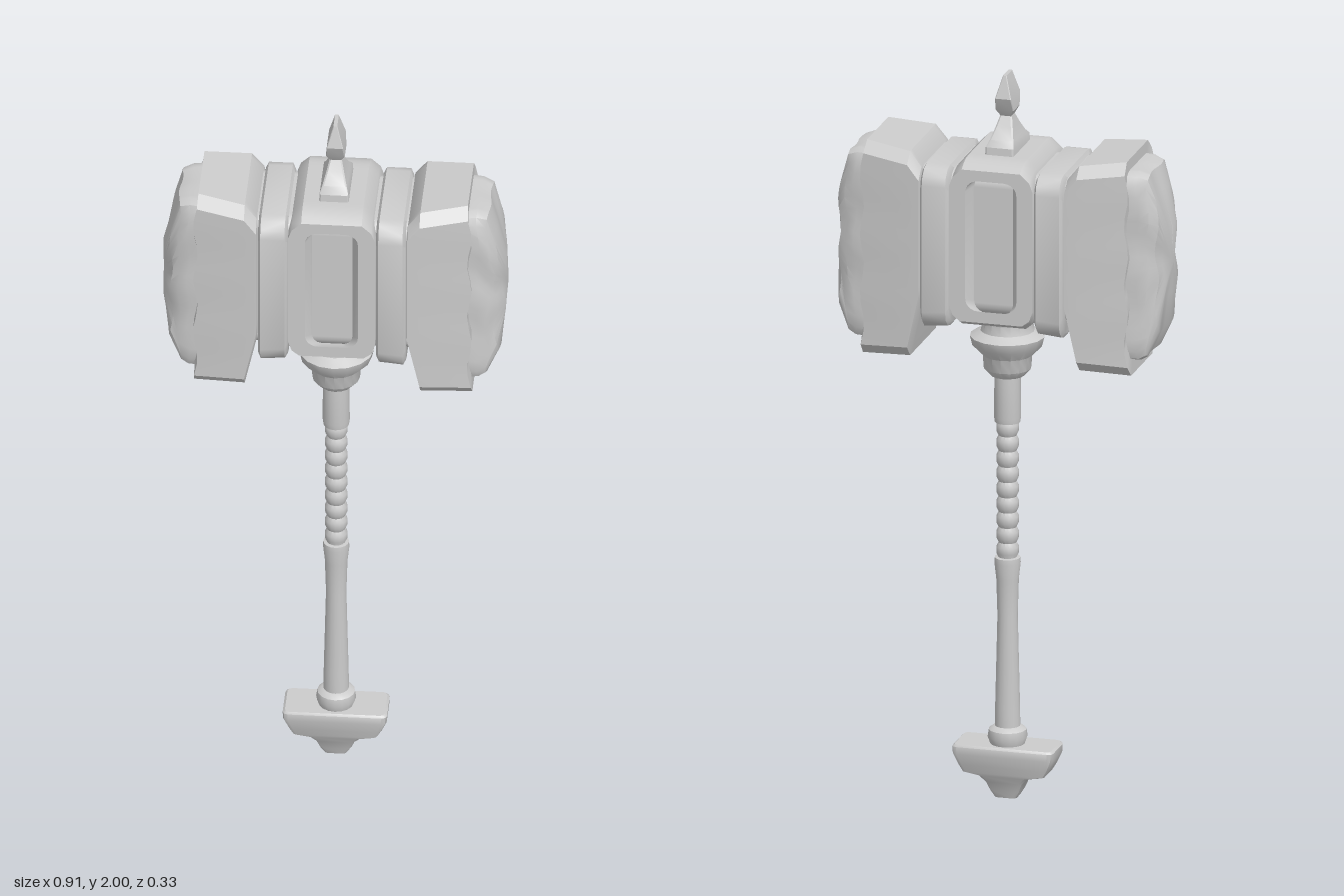
import * as THREE from 'three';
import { toCreasedNormals } from 'three/addons/utils/BufferGeometryUtils.js';
import { RoundedBoxGeometry } from 'three/addons/geometries/RoundedBoxGeometry.js';

const V = (x, y, z) => new THREE.Vector3(x, y, z);
const material = new THREE.MeshStandardMaterial({ color: 0xcccccc, side: THREE.DoubleSide });
const HEAD_Y = 1.52;

// Rectangle with rounded corners as a loop of [u, v]; straight edges get n steps.
function section(hu, hv, r, n = 1, arc = 3) {
  const corners = [[1, 1, 0], [-1, 1, 1], [-1, -1, 2], [1, -1, 3]].map(([su, sv, q]) => {
    const pts = [];
    for (let i = 0; i <= arc; i++) {
      const a = (q + i / arc) * Math.PI / 2;
      pts.push([su * (hu - r) + r * Math.cos(a), sv * (hv - r) + r * Math.sin(a)]);
    }
    return pts;
  });
  const loop = [];
  corners.forEach((pts, k) => {
    loop.push(...pts);
    const a = pts[arc], b = corners[(k + 1) % 4][0];
    for (let i = 1; i < n; i++) {
      loop.push([a[0] + (b[0] - a[0]) * i / n, a[1] + (b[1] - a[1]) * i / n]);
    }
  });
  return loop;
}

// Skin over a list of equal-length rings, closed with a fan at both ends.
function loft(rings, crease = 0.6) {
  const pos = [], idx = [], n = rings[0].length, m = rings.length;
  rings.forEach(ring => ring.forEach(p => pos.push(p.x, p.y, p.z)));
  for (let i = 0; i < m - 1; i++) {
    for (let j = 0; j < n; j++) {
      const a = i * n + j, b = i * n + (j + 1) % n;
      idx.push(a, b, b + n, a, b + n, a + n);
    }
  }
  [0, m - 1].forEach(e => {
    const mid = rings[e].reduce((s, p) => s.add(p), V(0, 0, 0)).divideScalar(n);
    const c = pos.length / 3;
    pos.push(mid.x, mid.y, mid.z);
    for (let j = 0; j < n; j++) {
      const a = e * n + j, b = e * n + (j + 1) % n;
      if (e) idx.push(c, a, b); else idx.push(c, b, a);
    }
  });
  // Turn the faces outward if the enclosed volume comes out negative.
  const at = i => V(pos[3 * i], pos[3 * i + 1], pos[3 * i + 2]);
  let volume = 0;
  for (let i = 0; i < idx.length; i += 3) {
    volume += at(idx[i]).dot(at(idx[i + 1]).cross(at(idx[i + 2])));
  }
  if (volume < 0) idx.reverse();
  const g = new THREE.BufferGeometry();
  g.setAttribute('position', new THREE.Float32BufferAttribute(pos, 3));
  g.setIndex(idx);
  return toCreasedNormals(g, crease);
}

// Loft along x from [x, low y, high y, half depth, radius]; wave shifts the points.
function loftX(side, rows, n = 1, arc = 3, wave = () => [0, 0]) {
  return loft(rows.map(([x, y0, y1, hz, r], i) =>
    section((y1 - y0) / 2, hz, r, n, arc).map(([u, v]) => {
      const [dx, dz] = wave(i, u, v);
      return V(side * (x + dx), (y0 + y1) / 2 + u, v + dz * Math.sign(v));
    })));
}

// Loft along y from [y, half width, half depth, radius].
const loftY = (rows, arc = 2, crease = 0.6) => loft(rows.map(([y, hx, hz, r]) =>
  section(hx, hz, r, 1, arc).map(([u, v]) => V(u, y, v))), crease);

const lathe = (profile, sides = 16) => toCreasedNormals(
  new THREE.LatheGeometry(profile.map(([r, y]) => new THREE.Vector2(r, y)), sides), 0.7);

// Middle of the head: side outline with a window, cut through from front to back.
function centreBlock() {
  const cy = 1.565;
  const outline = new THREE.Shape([[-0.115, 1.38], [-0.105, 1.35], [-0.085, 1.333], [0.085, 1.333],
    [0.105, 1.35], [0.115, 1.38], [0.115, 1.74], [0.105, 1.77], [0.08, 1.795], [-0.08, 1.795],
    [-0.105, 1.77], [-0.115, 1.74]].map(p => new THREE.Vector2(...p)));
  outline.holes.push(new THREE.Path(section(0.07, 0.198, 0.035, 1, 5)
    .map(([u, v]) => new THREE.Vector2(u, v + cy))));
  const g = new THREE.ExtrudeGeometry(outline, { depth: 0.32, steps: 16, bevelEnabled: false });
  g.translate(0, 0, -0.16);
  const p = g.attributes.position;
  for (let i = 0; i < p.count; i++) {
    const x = p.getX(i), y = p.getY(i), z = Math.abs(p.getZ(i));
    // Window walls lean inward, top and bottom round over toward front and back.
    if (Math.abs(x) < 0.075 && Math.abs(y - cy) < 0.205) {
      p.setX(i, x * (1 - 0.3 * Math.min(1, (0.16 - z) / 0.03)));
    }
    const t = Math.max(0, (z - 0.1) / 0.06);
    p.setY(i, cy + (y - cy) * (1 - 0.09 * t * t));
  }
  return toCreasedNormals(g, 0.6);
}

export function createModel() {
  const model = new THREE.Group();
  const add = (name, geometry, parent = model) => {
    const mesh = new THREE.Mesh(geometry, material);
    mesh.name = name;
    parent.add(mesh);
    return mesh;
  };

  // Head
  const head = new THREE.Group();
  head.name = 'head';
  model.add(head);
  add('headCentre', centreBlock(), head);
  add('headCore', new RoundedBoxGeometry(0.6, 0.4, 0.265, 3, 0.04), head).position.y = 1.56;

  [1, -1].forEach(side => {
    const label = side > 0 ? 'left' : 'right';
    add(label + 'Band', loftX(side, [
      [0.117, 1.335, 1.76, 0.155, 0.05], [0.124, 1.326, 1.77, 0.165, 0.05],
      [0.188, 1.32, 1.77, 0.165, 0.05], [0.195, 1.33, 1.76, 0.155, 0.05]]), head);

    // Heavy outer casing, with an uneven outer rim
    add(label + 'Casing', loftX(side, [
      [0.198, 1.39, 1.75, 0.15, 0.03], [0.2, 1.38, 1.76, 0.155, 0.03],
      [0.232, 1.235, 1.8, 0.152, 0.03], [0.362, 1.225, 1.815, 0.13, 0.03]], 14, 1,
      (i, u) => [i === 3 ? 0.006 * Math.sin(u * 38) : 0, 0]), head);

    // Rough domed stone striking face
    add(label + 'StoneFace', loftX(side, [
      [0.34, 1.265, 1.785, 0.115, 0.03], [0.385, 1.265, 1.785, 0.11, 0.03],
      [0.41, 1.275, 1.775, 0.102, 0.03], [0.432, 1.34, 1.715, 0.088, 0.03],
      [0.446, 1.43, 1.62, 0.05, 0.02], [0.455, 1.51, 1.53, 0.008, 0.004]], 14, 2,
      (i, u, v) => i === 0 || i === 5 ? [0, 0]
        : [0.005 * Math.sin(u * 42 + i) + 0.003 * Math.sin(v * 50), 0.004 * Math.sin(u * 33 + i * 2)]), head);
  });

  // Spike on top
  add('spikeBase', loftY([[1.78, 0.04, 0.083, 0.004], [1.815, 0.038, 0.08, 0.004],
    [1.83, 0.032, 0.06, 0.004], [1.86, 0.023, 0.035, 0.004], [1.89, 0.015, 0.015, 0.004]], 1));
  add('spike', loftY([[1.88, 0.012, 0.014, 0.002], [1.905, 0.025, 0.03, 0.002],
    [1.94, 0.022, 0.045, 0.002], [2.0, 0.005, 0.028, 0.002]], 1, 0.4));

  // Collar under the head
  add('collar', lathe([[0, 1.36], [0.08, 1.345], [0.066, 1.315], [0.072, 1.29], [0.1, 1.275],
    [0.094, 1.25], [0.066, 1.222], [0.063, 1.185], [0.045, 1.165], [0, 1.16]].reverse()));

  // Handle
  add('sleeve', lathe([[0, 1.03], [0.034, 1.035], [0.036, 1.05], [0.035, 1.18], [0, 1.18]]));
  const grip = [[0.025, 0.65]], wraps = 9, pitch = 0.38 / wraps;
  for (let i = 0; i < wraps; i++) {
    const y = 0.66 + i * pitch;
    grip.push([0.024, y], [0.03, y + pitch * 0.3], [0.03, y + pitch * 0.7]);
  }
  grip.push([0.024, 1.04]);
  add('grip', lathe(grip));
  add('shaft', lathe([[0, 0.18], [0.034, 0.185], [0.033, 0.25], [0.027, 0.5], [0.03, 0.6],
    [0.035, 0.645], [0.034, 0.66], [0, 0.665]]));

  // Pommel
  add('pommelRing', lathe([[0, 0.14], [0.045, 0.142], [0.053, 0.165], [0.05, 0.185],
    [0.036, 0.195], [0, 0.195]]));
  add('pommel', loftY([[0, 0.03, 0.026, 0.01], [0.02, 0.042, 0.032, 0.01], [0.045, 0.052, 0.04, 0.01],
    [0.062, 0.07, 0.047, 0.012], [0.07, 0.112, 0.05, 0.012], [0.09, 0.124, 0.054, 0.014],
    [0.12, 0.137, 0.06, 0.014], [0.14, 0.138, 0.06, 0.014], [0.146, 0.132, 0.056, 0.012]], 2));

  return model;
}
